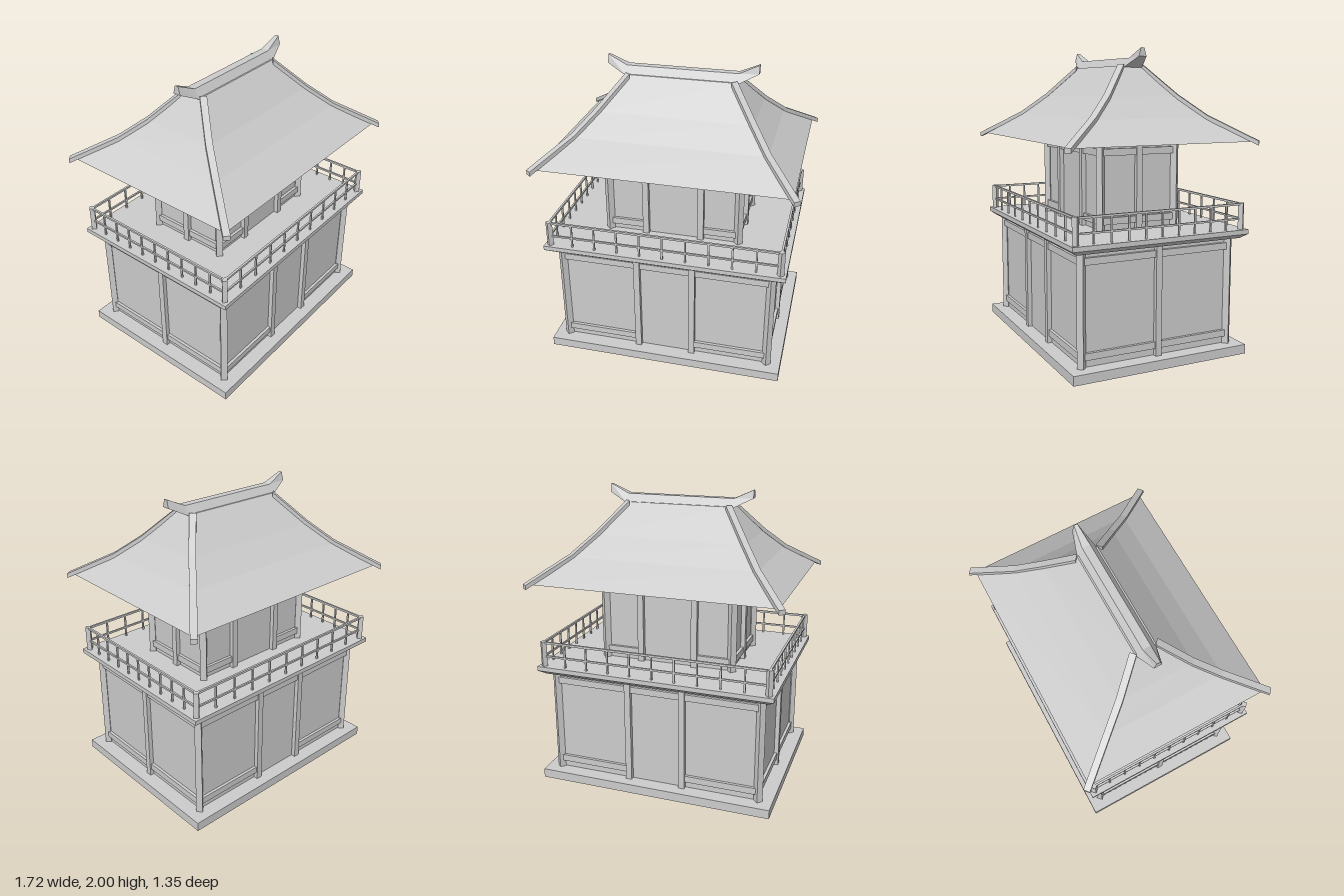
import * as THREE from 'three';

const material = new THREE.MeshStandardMaterial({ color: 0xcccccc, flatShading: true });

function add(parent, name, geometry) {
  const mesh = new THREE.Mesh(geometry, material);
  mesh.name = name;
  parent.add(mesh);
  return mesh;
}

function box(parent, name, w, h, d, x, y, z) {
  const mesh = add(parent, name, new THREE.BoxGeometry(w, h, d));
  mesh.position.set(x, y, z);
  return mesh;
}

// Closed solid through four-cornered rings, counter-clockwise about the direction of travel
function loft(rings) {
  const pos = [];
  const quad = (a, b, c, d) => pos.push(...a, ...b, ...c, ...a, ...c, ...d);
  for (let i = 0; i < rings.length - 1; i++) {
    for (let j = 0; j < 4; j++) {
      const k = (j + 1) % 4;
      quad(rings[i][j], rings[i][k], rings[i + 1][k], rings[i + 1][j]);
    }
  }
  const [s, e] = [rings[0], rings[rings.length - 1]];
  quad(s[3], s[2], s[1], s[0]);
  quad(e[0], e[1], e[2], e[3]);
  const geometry = new THREE.BufferGeometry();
  geometry.setAttribute('position', new THREE.Float32BufferAttribute(pos, 3));
  geometry.computeVertexNormals();
  return geometry;
}

const rect = ([x, y, z]) => [[-x, y, z], [x, y, z], [x, y, -z], [-x, y, -z]];

// Square post turned 45 degrees, r is its half diagonal
function diamondPost(parent, name, r, y0, y1, x, z) {
  const side = r * Math.SQRT2;
  box(parent, name, side, y1 - y0, side, x, (y0 + y1) / 2, z).rotation.y = Math.PI / 4;
}

function corners(fn) {
  for (const sx of [-1, 1]) for (const sz of [-1, 1]) fn(sx, sz);
}

// Timber-framed storey; hx and hz locate the corner posts
function storey(name, hx, hz, y0, y1) {
  const group = new THREE.Group();
  group.name = name;
  const h = y1 - y0, cy = (y0 + y1) / 2;
  box(group, 'walls', 2 * hx - 0.014, h, 2 * hz - 0.014, 0, cy, 0);
  corners((sx, sz) => diamondPost(group, 'cornerPost', 0.03, y0, y1, sx * hx, sz * hz));
  const low = y0 + 0.072, high = y1 - 0.06, bay = hx - 0.19;
  for (const s of [-1, 1]) {
    // Front and back: two posts frame a door bay
    for (const x of [-0.19, 0.19]) {
      box(group, 'wallPost', 0.042, h, 0.04, x, cy, s * (hz + 0.003));
      box(group, 'lowerBeam', bay, 0.045, 0.03, Math.sign(x) * (0.19 + bay / 2), low, s * (hz - 0.002));
    }
    box(group, 'upperBeam', 2 * hx, 0.045, 0.03, 0, high, s * (hz - 0.002));
    // Sides: one central post
    box(group, 'wallPost', 0.04, h, 0.042, s * (hx + 0.003), cy, 0);
    for (const y of [low, high]) {
      box(group, 'sideBeam', 0.03, 0.045, 2 * hz, s * (hx - 0.002), y, 0);
    }
  }
  return group;
}

// Railing around the balcony
function railing(hx, hz, y0) {
  const group = new THREE.Group();
  group.name = 'railing';
  corners((sx, sz) => diamondPost(group, 'railingCornerPost', 0.023, y0, 1.012, sx * hx, sz * hz));
  for (const s of [-1, 1]) {
    for (const [y, t] of [[1.004, 0.014], [0.908, 0.012]]) {
      box(group, 'rail', 2 * hx, t, t, 0, y, s * hz);
      box(group, 'rail', t, t, 2 * hz, s * hx, y, 0);
    }
    for (let i = 1; i < 10; i++) {
      const k = i / 5 - 1;
      box(group, 'baluster', 0.011, 0.165, 0.011, k * hx, y0 + 0.082, s * hz);
      box(group, 'baluster', 0.011, 0.165, 0.011, s * hx, y0 + 0.082, k * hz);
    }
  }
  return group;
}

function roof() {
  const group = new THREE.Group();
  group.name = 'roof';
  // Concave hipped roof: half width, height, half depth
  const profile = [[0.82, 1.41, 0.63], [0.63, 1.56, 0.405], [0.51, 1.69, 0.255], [0.36, 1.89, 0.07]];
  add(group, 'roofSlopes', loft(profile.map(rect)));

  // Hip beams follow the four corners
  const path = [[0.842, 1.4, 0.66], ...profile.slice(1, 3), [0.352, 1.885, 0.078]];
  corners((sx, sz) => {
    const side = new THREE.Vector3(-0.49 * sx, 0, -0.58 * sz)
      .cross(new THREE.Vector3(0, 1, 0)).setLength(0.022);
    const ring = ([x, y, z]) => [[-1, -0.014], [-1, 0.016], [1, 0.016], [1, -0.014]]
      .map(([s, dy]) => [x * sx + side.x * s, y + dy, z * sz + side.z * s]);
    add(group, 'hipBeam', loft(path.map(ring)));
  });

  // Ridge with upturned ends: x, bottom, top, half widths at bottom and top
  const ridge = [
    [-0.5, 1.945, 2, 0.027, 0.012], [-0.37, 1.88, 1.94, 0.066, 0.027],
    [0.37, 1.88, 1.94, 0.066, 0.027], [0.5, 1.945, 2, 0.027, 0.012],
  ];
  add(group, 'ridge', loft(ridge.map(([x, lo, hi, wl, wh]) =>
    [[x, lo, -wl], [x, hi, -wh], [x, hi, wh], [x, lo, wl]])));
  return group;
}

export function createModel() {
  const model = new THREE.Group();
  model.name = 'towerHouse';
  box(model, 'base', 1.62, 0.062, 1.24, 0, 0.031, 0);
  model.add(storey('lowerStorey', 0.715, 0.527, 0.06, 0.785));
  // Balcony slab with a bevelled underside
  add(model, 'balcony', loft([[0.77, 0.78, 0.58], [0.81, 0.81, 0.62], [0.81, 0.84, 0.62]].map(rect)));
  model.add(railing(0.772, 0.585, 0.84));
  model.add(storey('upperStorey', 0.448, 0.272, 0.83, 1.405));
  model.add(roof());
  return model;
}
